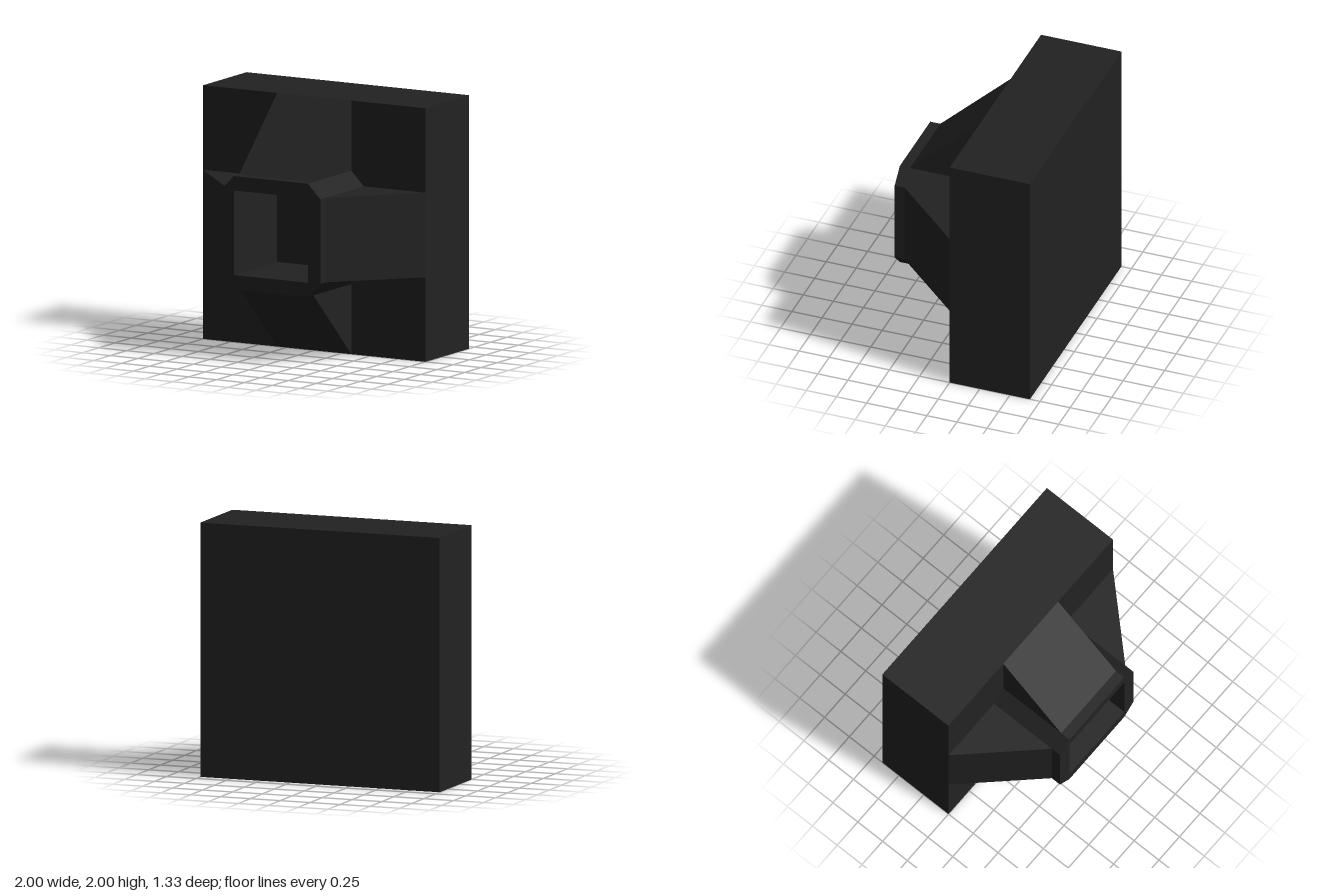
import * as THREE from 'three';

const HALF = 1 / 3;   // half width of the opening and of each buttress
const OUTER = 0.447;  // half width of the collar
const DEPTH = 2 / 3;  // depth of both the block and the collar

export function createModel() {
  const model = new THREE.Group();
  const charcoal = new THREE.MeshStandardMaterial({ color: 0x222222, flatShading: true });
  charcoal.name = 'charcoal';

  const add = (name, geometry) => {
    const mesh = new THREE.Mesh(geometry, charcoal);
    mesh.name = name;
    mesh.position.y = 1;
    model.add(mesh);
    return mesh;
  };
  const toPoints = (list) => list.map(([x, y]) => new THREE.Vector2(x, y));

  // Square block at the back
  add('baseBlock', new THREE.BoxGeometry(2, 2, DEPTH).translate(0, 0, -DEPTH / 2));

  // Chamfered square collar with a square opening down to the block
  const collar = new THREE.Shape(toPoints([
    [HALF, -OUTER], [OUTER, -HALF], [OUTER, HALF], [HALF, OUTER],
    [-HALF, OUTER], [-OUTER, HALF], [-OUTER, -HALF], [-HALF, -OUTER],
  ]));
  collar.holes.push(new THREE.Path(toPoints([
    [-HALF, -HALF], [-HALF, HALF], [HALF, HALF], [HALF, -HALF],
  ])));
  add('collar', new THREE.ExtrudeGeometry(collar, { depth: DEPTH, bevelEnabled: false }));

  // Four sloping buttresses: profile is depth (z) against distance from the centre
  const profile = new THREE.Shape(toPoints([[0, OUTER], [0.583, OUTER], [0, 1]]));
  const wedge = new THREE.ExtrudeGeometry(profile, { depth: 2 * HALF, bevelEnabled: false })
    .rotateY(-Math.PI / 2)
    .translate(HALF, 0, 0);
  ['topButtress', 'leftButtress', 'bottomButtress', 'rightButtress'].forEach((name, i) => {
    add(name, wedge).rotation.z = -i * Math.PI / 2;
  });

  return model;
}
